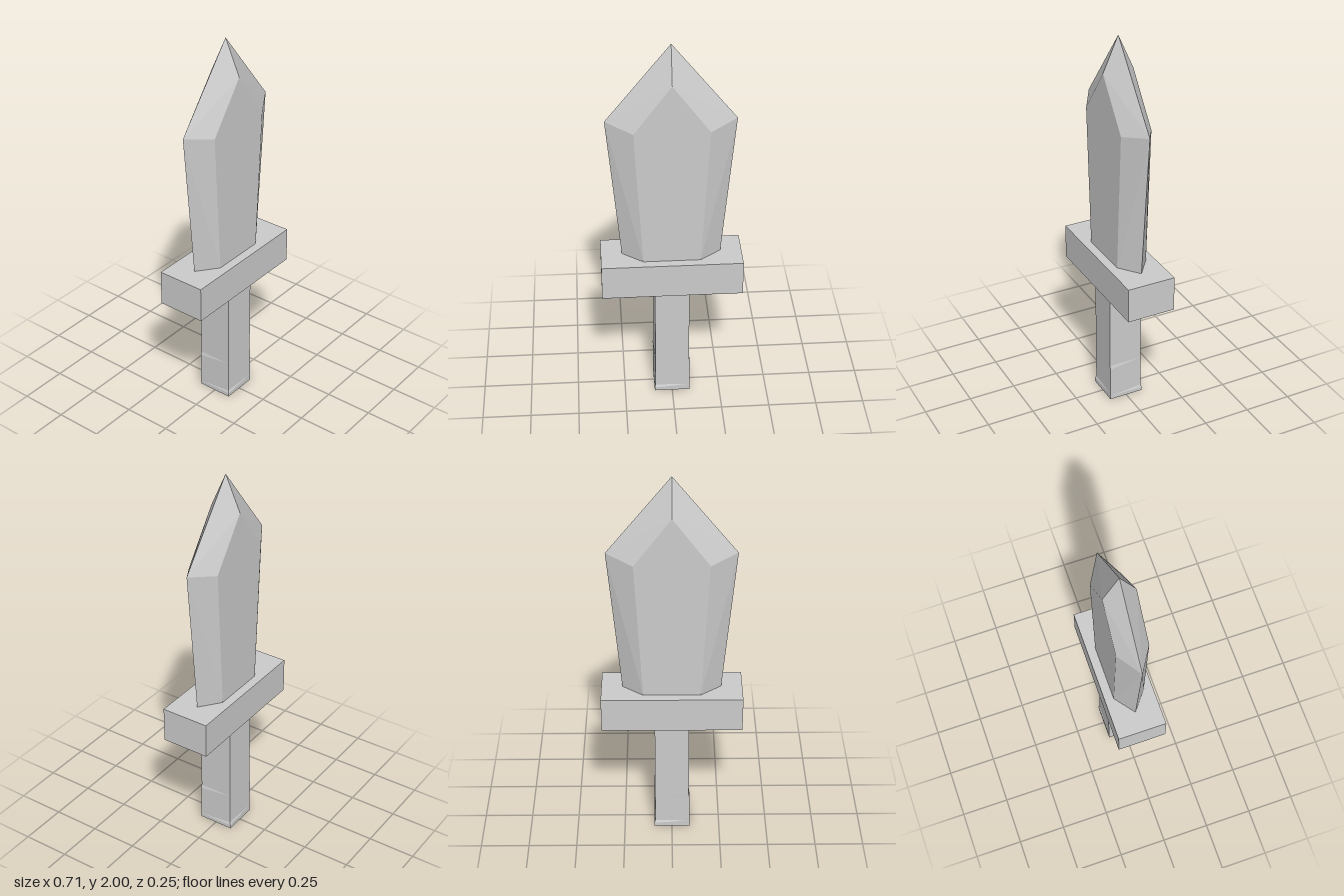
import * as THREE from 'three';
import { ConvexGeometry } from 'three/addons/geometries/ConvexGeometry.js';

const material = new THREE.MeshStandardMaterial({ color: 0xcccccc, flatShading: true });

function part(name, geometry) {
  const mesh = new THREE.Mesh(geometry, material);
  mesh.name = name;
  return mesh;
}

// Bevelled blade: central ridge outline in the z = 0 plane, flat panel on each side
function bladeGeometry() {
  const points = [new THREE.Vector3(0, 2, 0)];
  for (const sx of [-1, 1]) {
    points.push(new THREE.Vector3(sx * 0.25, 0.835, 0), new THREE.Vector3(sx * 0.32, 1.6, 0));
    for (const sz of [-1, 1]) {
      points.push(
        new THREE.Vector3(sx * 0.145, 0.835, sz * 0.081),
        new THREE.Vector3(sx * 0.185, 1.57, sz * 0.081),
      );
    }
  }
  for (const sz of [-1, 1]) points.push(new THREE.Vector3(0, 1.82, sz * 0.081));
  return new ConvexGeometry(points);
}

// Square grip whose corners flare slightly toward the pommel end
function gripGeometry() {
  const levels = [0, 0.02, 0.035, 0.19, 0.21, 0.65];
  const geometry = new THREE.BoxGeometry(2, 5, 2, 1, 5, 1);
  const p = geometry.attributes.position;
  for (let i = 0; i < p.count; i++) {
    const sx = Math.sign(p.getX(i));
    const sz = Math.sign(p.getZ(i));
    const y = levels[Math.round(p.getY(i) + 2.5)];
    // One diagonal pair of corners narrows low down, the other higher up
    const lowPair = sx !== sz;
    const narrow = y > (lowPair ? 0.03 : 0.2);
    const insetX = narrow ? 0.005 : 0;
    const insetZ = narrow && lowPair ? 0.006 : 0;
    p.setXYZ(i, sx * (0.093 - insetX), y, sz * (0.093 - insetZ));
  }
  geometry.computeVertexNormals();
  return geometry;
}

export function createModel() {
  const group = new THREE.Group();
  group.name = 'shortSword';

  const guard = part('crossguard', new THREE.BoxGeometry(0.714, 0.185, 0.254));
  guard.position.y = 0.7425;

  group.add(part('blade', bladeGeometry()), guard, part('grip', gripGeometry()));
  return group;
}
